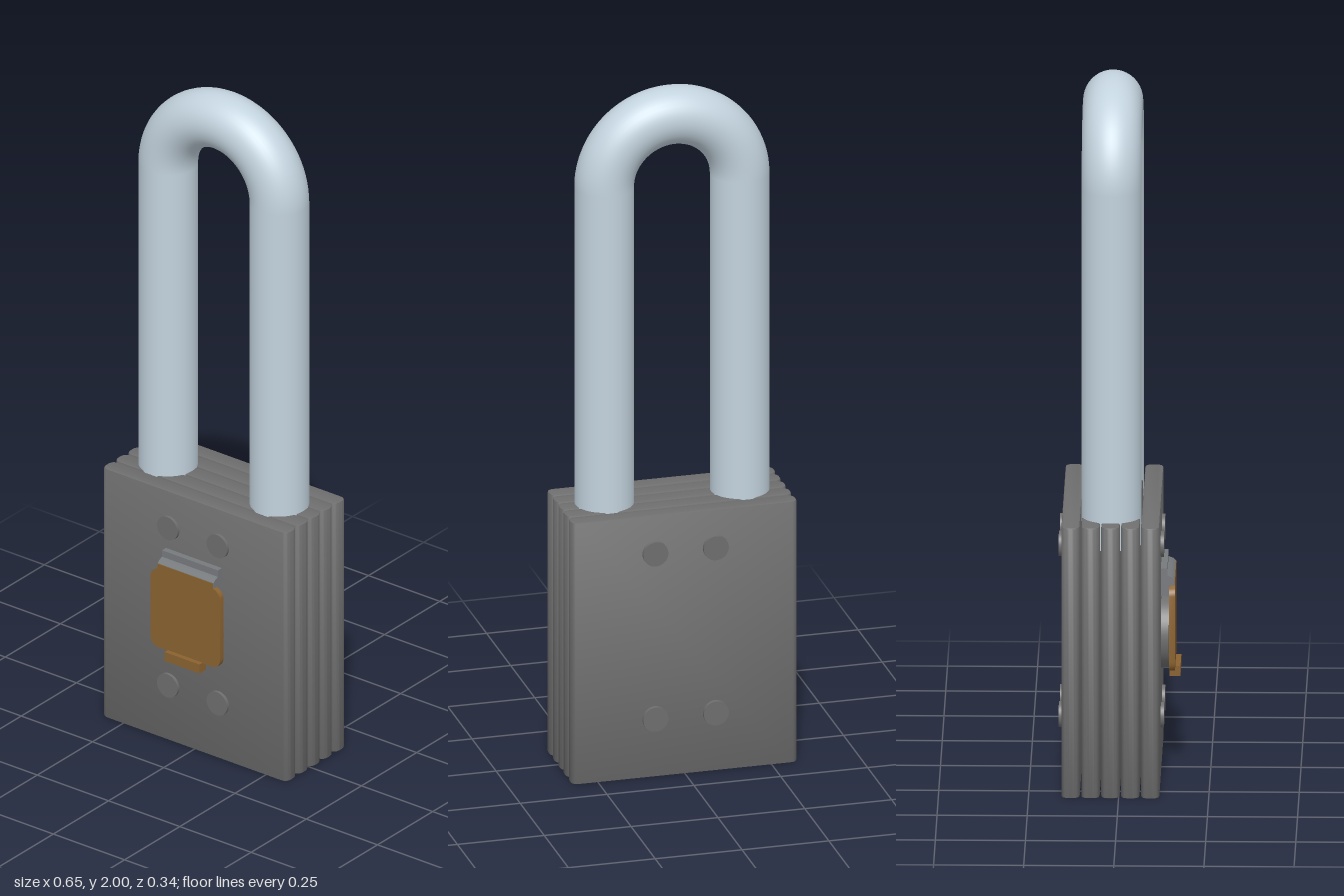
import * as THREE from 'three';
import { toCreasedNormals } from 'three/addons/utils/BufferGeometryUtils.js';

const material = (name, color) => new THREE.MeshStandardMaterial({ name, color });

function roundedRect(w, h, r) {
  const s = new THREE.Shape(), x = w / 2, y = h / 2;
  s.moveTo(-x + r, -y);
  s.lineTo(x - r, -y).quadraticCurveTo(x, -y, x, -y + r);
  s.lineTo(x, y - r).quadraticCurveTo(x, y, x - r, y);
  s.lineTo(-x + r, y).quadraticCurveTo(-x, y, -x, y - r);
  s.lineTo(-x, -y + r).quadraticCurveTo(-x, -y, -x + r, -y);
  return s;
}

// Extrusion of the given total depth, starting at z = 0, with a small inset bevel
function extrude(shape, depth, bevel) {
  const geo = new THREE.ExtrudeGeometry(shape, {
    depth: depth - 2 * bevel, bevelEnabled: bevel > 0, bevelThickness: bevel,
    bevelSize: bevel, bevelOffset: -bevel, bevelSegments: 2, curveSegments: 6,
  });
  geo.translate(0, 0, bevel);
  return toCreasedNormals(geo, 0.6);
}

export function createModel() {
  const model = new THREE.Group();
  model.name = 'padlock';
  const steel = material('polished steel', 0xc3d3de);
  const iron = material('dark grey metal', 0x6e6e6e);
  const hingeGrey = material('hinge grey', 0x777a7d);
  const brass = material('brass', 0x8a622f);

  function add(name, geo, mat, x = 0, y = 0, z = 0, parent = model) {
    const mesh = new THREE.Mesh(geo, mat);
    mesh.name = name;
    mesh.position.set(x, y, z);
    parent.add(mesh);
    return mesh;
  }

  // Laminated body: five upright plates with rounded vertical edges
  const body = new THREE.Group();
  body.name = 'body';
  model.add(body);
  const plateGeo = extrude(roundedRect(0.65, 0.051, 0.022), 0.78, 0.004).rotateX(-Math.PI / 2);
  for (let i = 0; i < 5; i++) {
    add('bodyPlate', plateGeo, iron, 0, 0, 0.0875 - i * 0.0552, body);
  }

  // Shackle: two straight legs joined by a half ring
  const shackle = new THREE.Group();
  shackle.name = 'shackle';
  shackle.position.z = -0.022;
  model.add(shackle);
  const R = 0.195, r = 0.083, archY = 2 - R - r, legBottom = 0.7;
  add('shackleArch', new THREE.TorusGeometry(R, r, 40, 64, Math.PI), steel, 0, archY, 0, shackle);
  const legGeo = new THREE.CylinderGeometry(r, r, archY - legBottom, 40);
  for (const side of [-1, 1]) {
    add('shackleLeg', legGeo, steel, side * R, (archY + legBottom) / 2, 0, shackle);
  }

  // Rivet heads on both faces
  const rivetGeo = new THREE.CylinderGeometry(0.036, 0.036, 0.02, 32).rotateX(Math.PI / 2);
  for (const x of [-0.087, 0.087]) {
    for (const y of [0.175, 0.668]) {
      add('frontRivet', rivetGeo, iron, x, y, 0.112);
      add('backRivet', rivetGeo, iron, x, y, -0.16);
    }
  }

  // Round keyway boss behind the cover
  const bossGeo = new THREE.CylinderGeometry(0.105, 0.105, 0.03, 48).rotateX(Math.PI / 2);
  add('keywayBoss', bossGeo, iron, 0, 0.395, 0.12);

  // Hinge block with a sloped top, drawn as (z, y) and extruded across x
  const hingeShape = new THREE.Shape([
    [0.11, 0.52], [0.136, 0.52], [0.136, 0.55], [0.151, 0.55],
    [0.151, 0.568], [0.144, 0.575], [0.131, 0.58], [0.131, 0.6], [0.11, 0.6],
  ].map(([z, y]) => new THREE.Vector2(z, y)));
  const hingeGeo = extrude(hingeShape, 0.196, 0).rotateY(-Math.PI / 2);
  add('coverHinge', hingeGeo, hingeGrey, 0.098);

  // Keyway cover with clipped upper corners and a lifting tab
  const cover = new THREE.Shape();
  cover.moveTo(-0.09, 0.306);
  cover.lineTo(0.09, 0.306).quadraticCurveTo(0.122, 0.306, 0.122, 0.338);
  cover.lineTo(0.122, 0.525).quadraticCurveTo(0.12, 0.543, 0.097, 0.552);
  cover.lineTo(0.097, 0.567).lineTo(-0.097, 0.567).lineTo(-0.097, 0.552);
  cover.quadraticCurveTo(-0.12, 0.543, -0.122, 0.525);
  cover.lineTo(-0.122, 0.338).quadraticCurveTo(-0.122, 0.306, -0.09, 0.306);
  add('keywayCover', extrude(cover, 0.016, 0), brass, 0, 0, 0.1365);
  add('coverTab', new THREE.BoxGeometry(0.122, 0.028, 0.03), brass, 0, 0.294, 0.152);

  return model;
}
